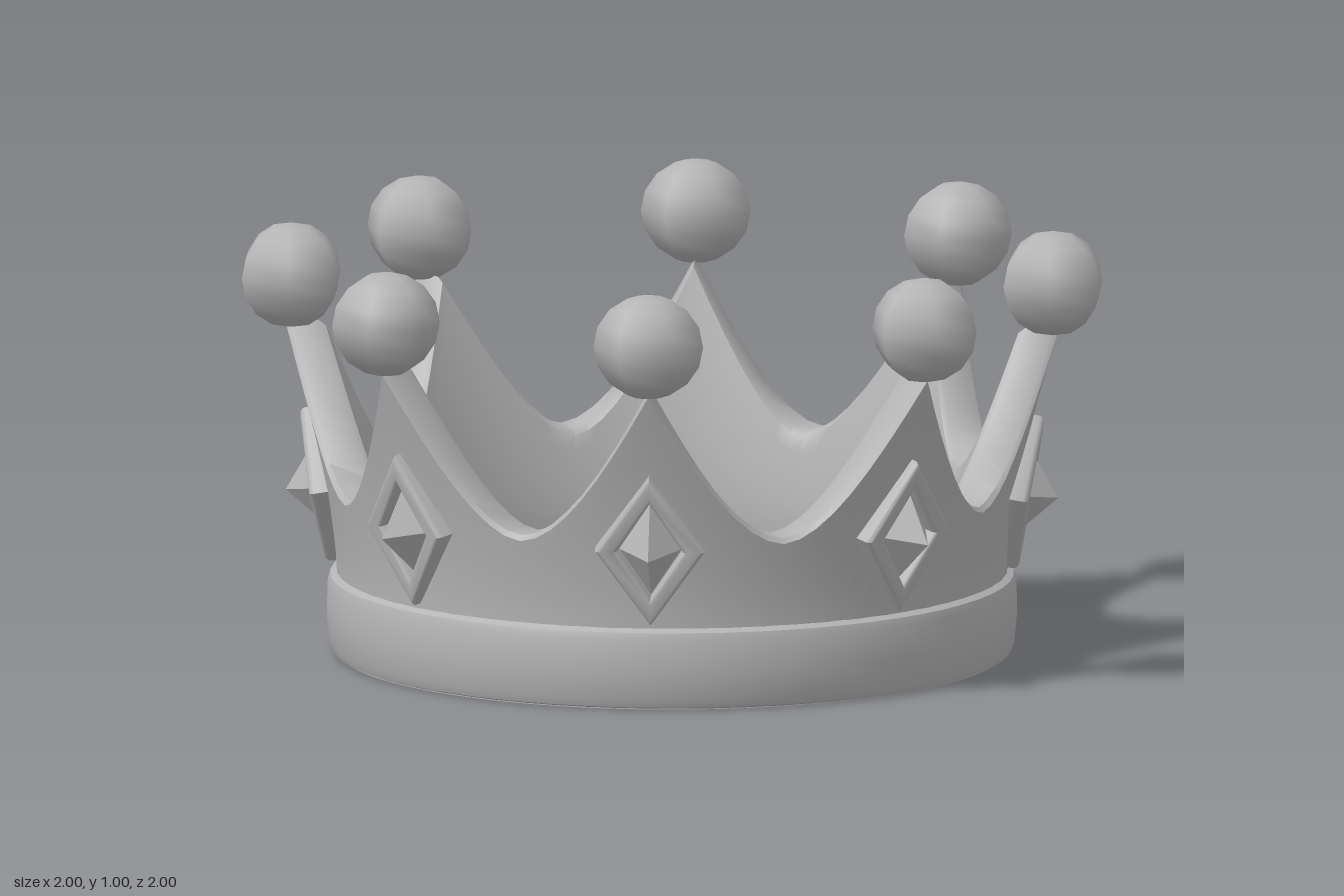
import * as THREE from 'three';
import { toCreasedNormals } from 'three/addons/utils/BufferGeometryUtils.js';

const SPIKES = 8;
const STEP = (Math.PI * 2) / SPIKES;

// Flared wall radii at a given height
const rise = (y) => Math.max(0, (y - 0.19) / 0.57);
const outerR = (y) => 0.78 + 0.12 * Math.pow(rise(y), 1.5);
const innerR = (y) => 0.663 + 0.145 * Math.pow(rise(y), 1.4);

// Height of the scalloped rim at an angle: sharp tips, round valleys
function rimY(a) {
  const t = Math.abs(a / STEP - Math.round(a / STEP)) * 2;
  return 0.4 + 0.37 * Math.pow(1 - t, 1.75);
}

// Wall: one closed cross-section per angle
function wallGeometry() {
  const cols = 128, rows = 10, bevel = 0.012;
  const pos = [], idx = [];
  let n = 0;
  for (let j = 0; j < cols; j++) {
    const a = (j / cols) * Math.PI * 2;
    const top = rimY(a), side = top - bevel;
    const section = [];
    for (let i = 0; i <= rows; i++) {
      const y = (side * i) / rows;
      section.push([innerR(y), y]);
    }
    section.push([innerR(top) + bevel, top], [outerR(top) - bevel, top]);
    for (let i = rows; i >= 0; i--) {
      const y = (side * i) / rows;
      section.push([outerR(y), y]);
    }
    n = section.length;
    for (const [r, y] of section) pos.push(r * Math.sin(a), y, r * Math.cos(a));
  }
  for (let j = 0; j < cols; j++) {
    const k = (j + 1) % cols;
    for (let i = 0; i < n; i++) {
      const m = (i + 1) % n;
      const a = j * n + i, b = j * n + m, c = k * n + i, d = k * n + m;
      idx.push(a, b, c, c, b, d);
    }
  }
  const g = new THREE.BufferGeometry();
  g.setAttribute('position', new THREE.Float32BufferAttribute(pos, 3));
  g.setIndex(idx);
  return toCreasedNormals(g, 0.7);
}

// Band around the foot, with softened edges
function bandGeometry() {
  const profile = [
    [0.7, 0], [0.775, 0], [0.79, 0.006], [0.798, 0.025], [0.804, 0.09],
    [0.802, 0.165], [0.796, 0.183], [0.775, 0.195],
  ].map(([x, y]) => new THREE.Vector2(x, y));
  return toCreasedNormals(new THREE.LatheGeometry(profile, 64), 0.7);
}

function diamond(target, w, h) {
  target.moveTo(0, -h);
  target.lineTo(w, 0);
  target.lineTo(0, h);
  target.lineTo(-w, 0);
  target.closePath();
  return target;
}

// Rounded diamond frame with an open middle
function frameGeometry() {
  const shape = diamond(new THREE.Shape(), 0.115, 0.168);
  shape.holes.push(diamond(new THREE.Path(), 0.09, 0.132));
  const g = new THREE.ExtrudeGeometry(shape, {
    depth: 0.05, bevelEnabled: true, bevelThickness: 0.014, bevelSize: 0.011, bevelSegments: 3,
  });
  g.translate(0, 0, -0.035);
  return toCreasedNormals(g, 0.8);
}

export function createModel() {
  const grey = new THREE.MeshStandardMaterial({ color: 0xb4b4b4 });
  grey.name = 'grey metal';

  const crown = new THREE.Group();
  crown.name = 'crown';
  const add = (parent, name, geometry) => {
    const mesh = new THREE.Mesh(geometry, grey);
    mesh.name = name;
    parent.add(mesh);
    return mesh;
  };

  add(crown, 'spikedWall', wallGeometry());
  add(crown, 'footBand', bandGeometry());

  const frame = frameGeometry();
  const gem = new THREE.OctahedronGeometry(1).scale(0.072, 0.112, 0.092);
  const ball = new THREE.SphereGeometry(0.128, 6, 8).scale(1, 0.965, 1);

  // Ball, frame and gem for every spike
  for (let i = 0; i < SPIKES; i++) {
    const spike = new THREE.Group();
    spike.name = 'spikeOrnaments';
    spike.rotation.y = i * STEP;
    crown.add(spike);

    add(spike, 'tipBall', ball).position.set(0, 0.877, 0.888);

    const jewel = new THREE.Group();
    jewel.name = 'jewel';
    jewel.position.set(0, 0.385, 0.81);
    jewel.rotation.x = 0.17;
    spike.add(jewel);
    add(jewel, 'jewelFrame', frame);
    add(jewel, 'jewelGem', gem);
  }
  return crown;
}
